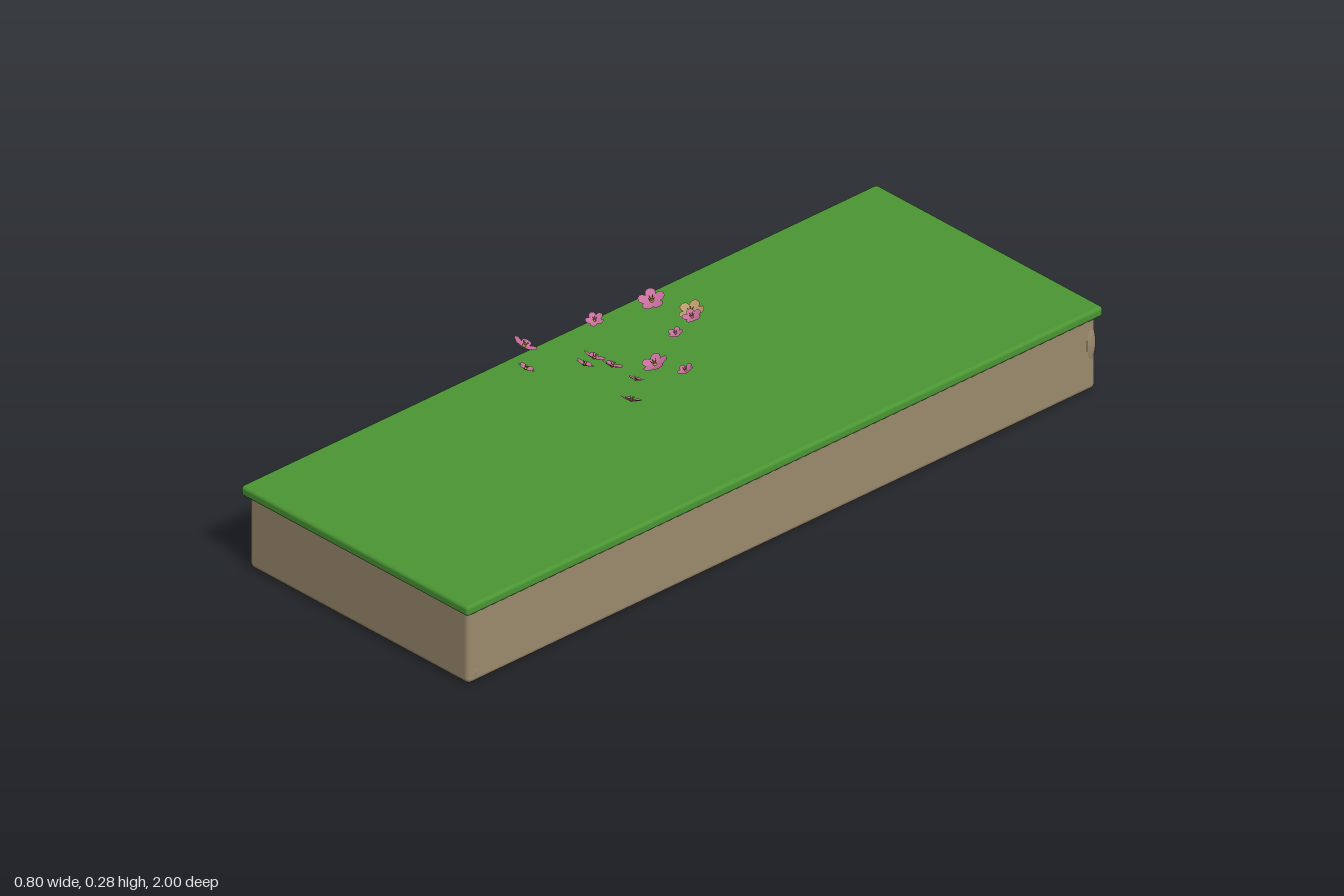
import * as THREE from 'three';
import { RoundedBoxGeometry } from 'three/addons/geometries/RoundedBoxGeometry.js';

const mat = (name, color, side = THREE.FrontSide) => {
  const m = new THREE.MeshStandardMaterial({ color, side });
  m.name = name;
  return m;
};

function add(parent, name, geometry, material, x = 0, y = 0, z = 0) {
  const mesh = new THREE.Mesh(geometry, material);
  mesh.name = name;
  mesh.position.set(x, y, z);
  parent.add(mesh);
  return mesh;
}

// Unit petal lying along +x: narrow at the base, round at the tip, cupped upward
function petalGeometry() {
  const g = new THREE.CircleGeometry(0.5, 14);
  g.rotateX(-Math.PI / 2);
  const p = g.attributes.position;
  for (let i = 0; i < p.count; i++) {
    const x = p.getX(i) + 0.5;
    const z = p.getZ(i) * (0.5 + 0.5 * x);
    p.setXYZ(i, x, 0.28 * x * x + 0.35 * z * z, z);
  }
  g.computeVertexNormals();
  return g;
}

export function createModel() {
  const root = new THREE.Group();
  root.name = 'grassBlockWithBlossoms';

  const earth = mat('earth', 0x9c8b6e);
  const grass = mat('grass', 0x4b9634);
  const pink = mat('petalPink', 0xc9709f, THREE.DoubleSide);
  const tan = mat('petalTan', 0xb89a6c, THREE.DoubleSide);
  const yellow = mat('stamenYellow', 0xc9a23a);

  // Earth body and grass lid
  add(root, 'earthBody', new RoundedBoxGeometry(0.735, 0.2, 1.97, 3, 0.014), earth, 0.0225, 0.103, -0.002);
  add(root, 'grassLid', new RoundedBoxGeometry(0.76, 0.027, 1.995, 2, 0.009), grass, 0.02, 0.2055, -0.0025);

  // Stones set in the earth: position, then half sizes
  const stone = new THREE.IcosahedronGeometry(1, 2);
  [
    [-0.345, 0.108, 0.045, 0.057, 0.058, 0.056],
    [-0.345, 0.085, 0.115, 0.03, 0.055, 0.04],
    [-0.345, 0.115, 0.17, 0.026, 0.05, 0.032],
    [-0.345, 0.11, -0.235, 0.026, 0.05, 0.026],
    [-0.325, 0.125, -0.975, 0.028, 0.03, 0.022],
    [-0.325, 0.095, -0.975, 0.014, 0.025, 0.018],
    [0.375, 0.125, -0.97, 0.02, 0.06, 0.021],
    [0.38, 0.03, 0.96, 0.011, 0.025, 0.02],
  ].forEach(([x, y, z, sx, sy, sz]) => add(root, 'stone', stone, earth, x, y, z).scale.set(sx, sy, sz));

  // Floating blossoms: x, y, z, radius
  const petal = petalGeometry();
  const bead = new THREE.SphereGeometry(0.16, 8, 6);
  const filament = new THREE.CylinderGeometry(0.03, 0.03, 0.5, 5);
  filament.translate(0, 0.25, 0);
  [
    [-0.29, 0.246, -0.23, 0.032],
    [-0.21, 0.231, -0.28, 0.031],
    [-0.16, 0.257, -0.235, 0.023],
    [-0.13, 0.258, -0.155, 0.018],
    [-0.31, 0.25, -0.07, 0.022],
    [-0.055, 0.262, -0.02, 0.031],
    [0.005, 0.256, -0.06, 0.02],
    [-0.175, 0.26, 0.06, 0.027],
    [-0.17, 0.258, 0.095, 0.023],
    [-0.115, 0.264, 0.06, 0.027],
    [-0.035, 0.262, 0.06, 0.02],
    [0.02, 0.256, 0.125, 0.027],
    [-0.335, 0.251, 0.13, 0.031],
    [-0.265, 0.245, 0.19, 0.022],
  ].forEach(([x, y, z, r], n) => {
    const flower = new THREE.Group();
    flower.name = 'blossom';
    flower.position.set(x, y, z);
    flower.scale.setScalar(r);
    // Each blossom leans toward the middle of the cluster
    const lean = new THREE.Vector3((-0.15 - x) * 1.3, 1, z > 0 ? -0.5 : 0.35).normalize();
    flower.quaternion.setFromUnitVectors(new THREE.Vector3(0, 1, 0), lean);
    for (let i = 0; i < 5; i++) {
      const a = n * 0.7 + (i * Math.PI * 2) / 5;
      add(flower, 'petal', petal, n === 1 ? tan : pink).rotation.y = a;
      const s = add(flower, 'stamen', filament, yellow);
      s.rotation.set(0.5 * Math.sin(a), 0, 0.5 * Math.cos(a));
    }
    add(flower, 'flowerCentre', bead, yellow, 0, 0.05, 0);
    root.add(flower);
  });

  return root;
}
